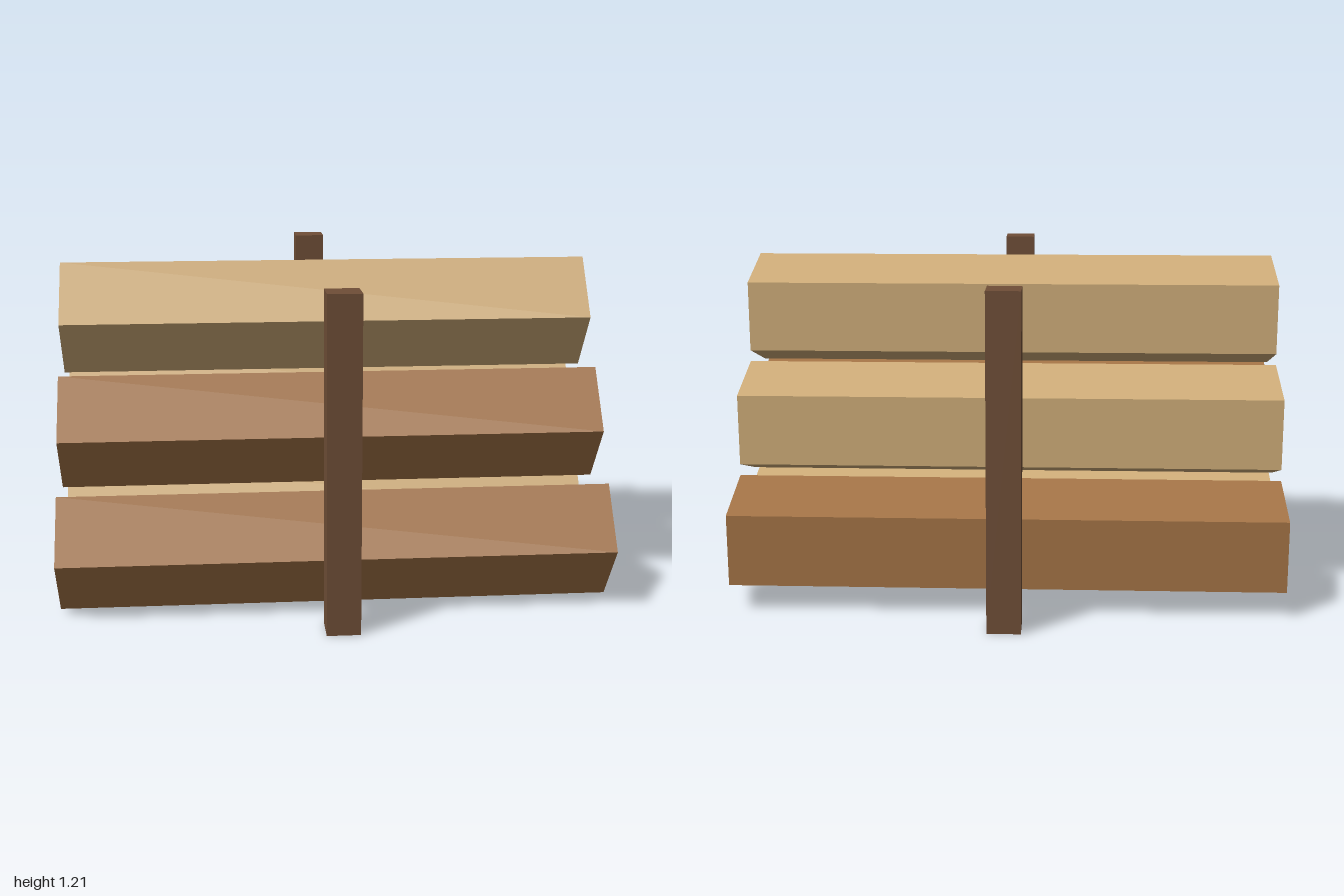
import * as THREE from 'three';

export function createModel() {
  const model = new THREE.Group();
  model.name = 'logStack';

  const material = (name, color) => {
    const m = new THREE.MeshStandardMaterial({ color, flatShading: true });
    m.name = name;
    return m;
  };
  const bark = material('brown bark', 0xa47446);
  const paleWood = material('pale wood', 0xcfad79);
  const postWood = material('dark post wood', 0x6f4e37);

  // Five-sided logs lying along x, with one edge pointing forward
  const logGeometry = new THREE.CylinderGeometry(0.222, 0.222, 2, 5).rotateZ(Math.PI / 2);

  // Rows from the ground up; each lists its logs from front to back
  const rows = [
    [bark, paleWood, bark],
    [bark, paleWood],
    [paleWood],
  ];
  rows.forEach((row, r) => {
    row.forEach((wood, i) => {
      const log = new THREE.Mesh(logGeometry, wood);
      log.name = `logRow${r + 1}Number${i + 1}`;
      log.position.set(0, 0.228 + r * 0.383, 0.003 + (row.length - 1) * 0.25 - i * 0.5);
      model.add(log);
    });
  });

  // Upright posts holding the stack in front and behind
  const postGeometry = new THREE.BoxGeometry(0.12, 1.2, 0.12);
  for (const [name, z] of [['frontPost', 0.8], ['backPost', -0.8]]) {
    const post = new THREE.Mesh(postGeometry, postWood);
    post.name = name;
    post.position.set(0, 0.6, z);
    model.add(post);
  }

  return model;
}
